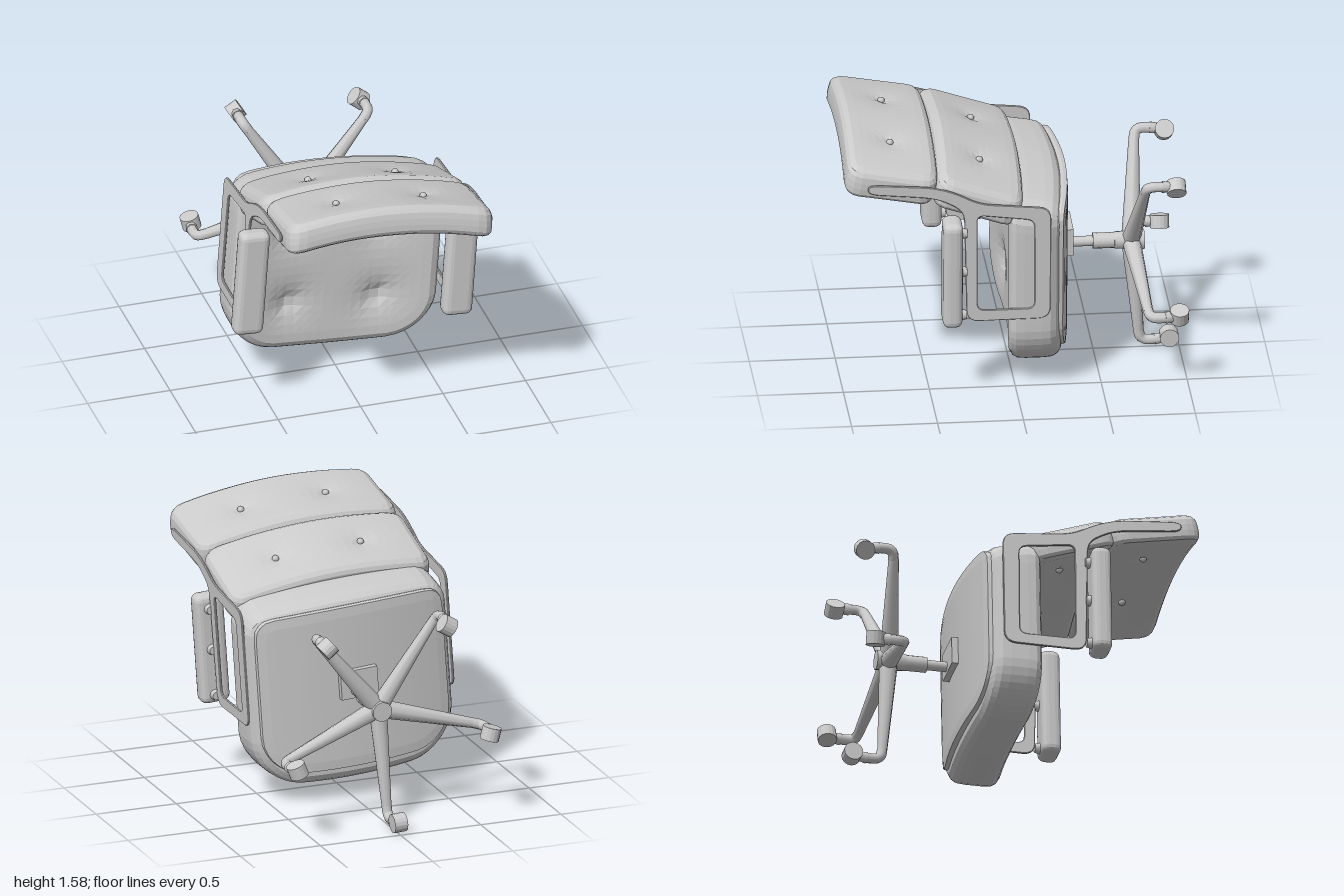
import * as THREE from 'three';
import { mergeVertices } from 'three/addons/utils/BufferGeometryUtils.js';
import { RoundedBoxGeometry } from 'three/addons/geometries/RoundedBoxGeometry.js';

const flat = new THREE.MeshStandardMaterial({ color: 0xcccccc, flatShading: true });
const smooth = new THREE.MeshStandardMaterial({ color: 0xcccccc });

function add(parent, name, geometry, material, x = 0, y = 0, z = 0) {
  const mesh = new THREE.Mesh(geometry, material);
  mesh.name = name;
  mesh.position.set(x, y, z);
  parent.add(mesh);
  return mesh;
}

// Cylinder between two points, r0 at the start and r1 at the end.
function rod(parent, name, a, b, r0, r1, sides = 12) {
  const dir = b.clone().sub(a);
  const mesh = add(parent, name, new THREE.CylinderGeometry(r1, r0, dir.length(), sides), smooth);
  mesh.position.copy(a).addScaledVector(dir, 0.5);
  mesh.quaternion.setFromUnitVectors(new THREE.Vector3(0, 1, 0), dir.normalize());
}

// Draws a closed outline whose corners are rounded by up to r.
function roundedOutline(path, list, r) {
  const pts = list.map(([a, b]) => new THREE.Vector2(a, b));
  pts.forEach((p, i) => {
    const toward = q => p.clone().lerp(q, Math.min(0.45, r / p.distanceTo(q)));
    const a = toward(pts.at(i - 1)), b = toward(pts[(i + 1) % pts.length]);
    if (i === 0) path.moveTo(a.x, a.y);
    else path.lineTo(a.x, a.y);
    path.quadraticCurveTo(p.x, p.y, b.x, b.y);
  });
  path.closePath();
  return path;
}

// Padded slab in the XY plane: rounded outline (top / bottom corner radius),
// rounded rim, optional dimples, then a final bend rule.
function padGeometry({ w, h, t, top, bottom, rim, seg, dimples = [], depth = 0, twoSided = false, bend }) {
  let g = new THREE.BoxGeometry(w, h, t, ...seg);
  g.deleteAttribute('uv');
  g.deleteAttribute('normal');
  g = mergeVertices(g, 1e-4);
  const p = g.attributes.position;
  const v = new THREE.Vector3();
  for (let i = 0; i < p.count; i++) {
    v.fromBufferAttribute(p, i);
    const R = v.y < 0 ? bottom : top;
    const cx = THREE.MathUtils.clamp(v.x, -w / 2 + R, w / 2 - R);
    const cy = THREE.MathUtils.clamp(v.y, -h / 2 + R, h / 2 - R);
    const dx = v.x - cx, dy = v.y - cy;
    const len = Math.max(Math.abs(dx), Math.abs(dy));
    if (len > 0) {
      const a = len - (R - rim), b = Math.abs(v.z) - (t / 2 - rim);
      let out = len;
      if (a > 0 && b > 0) {
        const k = Math.max(a, b) / Math.hypot(a, b);
        out = R - rim + a * k;
        v.z = Math.sign(v.z) * (t / 2 - rim + b * k);
      }
      const s = out / Math.hypot(dx, dy);
      v.x = cx + dx * s;
      v.y = cy + dy * s;
    }
    if (v.z > t * 0.3 || (twoSided && v.z < -t * 0.3)) {
      for (const [bx, by] of dimples) {
        const d = Math.hypot(v.x - bx, v.y - by);
        v.z -= Math.sign(v.z) * depth * Math.exp(-d / 0.08);
      }
    }
    bend(v);
    p.setXYZ(i, v.x, v.y, v.z);
  }
  g.computeVertexNormals();
  return g;
}

function button(parent, x, y, z) {
  add(parent, 'tuftButton', new THREE.SphereGeometry(0.021, 10, 8), smooth, x, y, z);
}

function buildSeat(body) {
  const seat = new THREE.Group();
  seat.name = 'seat';
  seat.position.set(0.01, 0.7, 0);
  body.add(seat);
  const bow = x => (x / 0.62) ** 2;
  const dimples = [];
  for (const x of [-0.268, 0.268]) for (const y of [-0.255, 0.23]) dimples.push([x, y]);
  add(seat, 'seatCushion', padGeometry({
    w: 1.26, h: 1.14, t: 0.31, top: 0.14, bottom: 0.3, rim: 0.08, seg: [22, 20, 6],
    dimples, depth: 0.08,
    bend: v => {
      v.y *= 1 - 0.07 * bow(v.x) + (v.y > 0 ? 0.3 * v.z : 0);
      v.z -= 0.055 * (1 - bow(v.x));
    },
  }), flat, 0, 0, -0.095);
  for (const [x, y] of dimples) button(seat, x, y, -0.055 * (1 - bow(x)) - 0.012);

  // Bowed panel under the seat
  add(seat, 'seatShell', padGeometry({
    w: 1.17, h: 0.99, t: 0.05, top: 0.1, bottom: 0.24, rim: 0.015, seg: [20, 16, 2],
    bend: v => { v.z -= 0.075 * (1 - bow(v.x)); v.y *= 1 - 0.05 * bow(v.x); },
  }), flat, 0, 0.015, -0.24);
  add(seat, 'mountPlate', new THREE.BoxGeometry(0.23, 0.17, 0.075), flat, 0, 0.04, -0.338);
}

function buildBackCushion(body, name, length, y, z, slope) {
  const group = new THREE.Group();
  group.name = name;
  group.position.set(0, y, z);
  group.rotation.x = Math.PI / 2 - slope;
  body.add(group);
  const dimples = [[-0.265, 0], [0.265, 0]];
  const arc = x => 0.075 * (x / 0.62) ** 2;
  add(group, name + 'Pad', padGeometry({
    w: 1.25, h: length, t: 0.185, top: 0.09, bottom: 0.09, rim: 0.06, seg: [24, 12, 5],
    dimples, depth: 0.035, twoSided: true,
    bend: v => { v.z += arc(v.x); },
  }), flat);
  for (const [x] of dimples) for (const s of [-1, 1]) button(group, x, 0, arc(x) + s * 0.068);
}

// Flat side frame: a strap along the back and a loop around the arm opening.
function buildSide(body, side) {
  const group = new THREE.Group();
  group.name = side > 0 ? 'leftArm' : 'rightArm';
  body.add(group);
  const shape = roundedOutline(new THREE.Shape(), [
    [0.87, 1.43], [0.5, 1.4], [0.38, 1.365], [0.22, 1.28], [-0.19, 1.24],
    [-0.19, 0.53], [0.29, 0.525], [0.31, 1.24], [0.42, 1.31], [0.52, 1.34], [0.87, 1.375],
  ], 0.07);
  shape.holes.push(roundedOutline(new THREE.Path(), [
    [0.24, 1.215], [-0.1, 1.17], [-0.105, 0.59], [0.235, 0.59],
  ], 0.05));
  const frame = new THREE.ExtrudeGeometry(shape, {
    depth: 0.006, bevelThickness: 0.004, bevelSize: 0.004, bevelSegments: 1, curveSegments: 5,
  });
  frame.rotateY(-Math.PI / 2);
  add(group, 'armFrame', frame, flat, side * 0.638 + 0.003);

  add(group, 'armPad', new RoundedBoxGeometry(0.18, 0.67, 0.115, 2, 0.04), flat, side * 0.635, 0.848, 0.38);
  for (const y of [0.57, 0.85, 1.1]) {
    rod(group, 'armPadMount', new THREE.Vector3(side * 0.645, y, 0.295),
      new THREE.Vector3(side * 0.645, y, 0.335), 0.026, 0.036);
  }
}

function buildBase(chair) {
  const base = new THREE.Group();
  base.name = 'base';
  base.position.set(0.03, 0.7, 0);
  chair.add(base);
  const onAxis = z => new THREE.Vector3(0, 0, z);
  rod(base, 'columnRod', onAxis(-0.33), onAxis(-0.52), 0.03, 0.03, 16);
  rod(base, 'columnSleeve', onAxis(-0.495), onAxis(-0.64), 0.046, 0.046, 16);
  rod(base, 'hub', onAxis(-0.62), onAxis(-0.795), 0.05, 0.06, 10);

  for (let i = 0; i < 5; i++) {
    const leg = new THREE.Group();
    leg.name = 'baseLeg';
    leg.rotation.z = THREE.MathUtils.degToRad(-93.5 + 72 * i);
    base.add(leg);
    const P = (x, z) => new THREE.Vector3(x, 0, z);
    rod(leg, 'legBeam', P(0.02, -0.72), P(0.6, -0.766), 0.056, 0.03, 8);
    const elbow = new THREE.CatmullRomCurve3([P(0.59, -0.766), P(0.63, -0.775), P(0.65, -0.8), P(0.652, -0.87)]);
    add(leg, 'legElbow', new THREE.TubeGeometry(elbow, 8, 0.031, 8), smooth);
    rod(leg, 'casterStem', P(0.652, -0.86), P(0.645, -0.92), 0.036, 0.028, 8);
    add(leg, 'casterWheel', new THREE.CylinderGeometry(0.056, 0.056, 0.078, 16), flat, 0.635, 0, -0.944);
  }
}

export function createModel() {
  const chair = new THREE.Group();
  chair.name = 'tippedOfficeChair';

  // Upper part, turned slightly on the column
  const turn = new THREE.Group();
  turn.name = 'upperChair';
  turn.position.y = 0.8;
  turn.rotation.z = THREE.MathUtils.degToRad(-4);
  chair.add(turn);
  const body = new THREE.Group();
  body.name = 'seatAndBack';
  body.position.y = -0.8;
  turn.add(body);

  buildSeat(body);
  buildBackCushion(body, 'lowerBackCushion', 0.53, 1.328, 0.208, 0.33);
  buildBackCushion(body, 'upperBackCushion', 0.54, 1.46, 0.722, 0.18);
  for (const side of [-1, 1]) buildSide(body, side);
  buildBase(chair);
  return chair;
}
